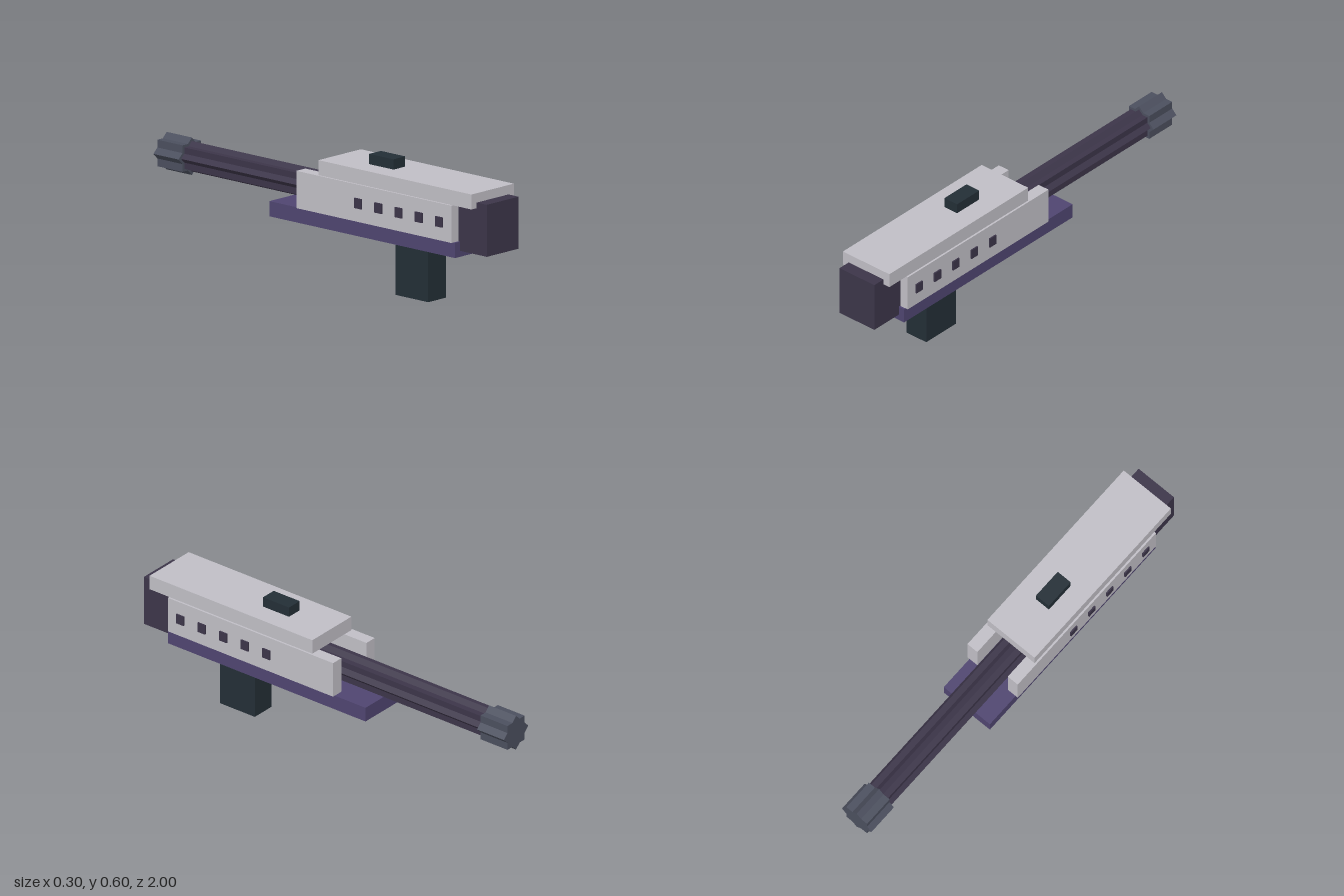
import * as THREE from 'three';

const material = (name, color) => {
  const m = new THREE.MeshStandardMaterial({ color });
  m.name = name;
  return m;
};

export function createModel() {
  const model = new THREE.Group();
  model.name = 'rotaryBlaster';
  const paleGrey = material('paleGrey', 0xc0bec5);
  const darkPlum = material('darkPlum', 0x3c3549);
  const purple = material('purple', 0x4f4570);
  const blueBlack = material('blueBlack', 0x232e36);
  const slate = material('slate', 0x4b4f5e);

  const add = (name, geometry, mat) => {
    const mesh = new THREE.Mesh(geometry, mat);
    mesh.name = name;
    model.add(mesh);
    return mesh;
  };

  // Box given by its minimum and maximum on each axis
  const block = (name, mat, [x0, x1], [y0, y1], [z0, z1]) =>
    add(name, new THREE.BoxGeometry(x1 - x0, y1 - y0, z1 - z0), mat)
      .position.set((x0 + x1) / 2, (y0 + y1) / 2, (z0 + z1) / 2);

  // Fluted bar with eight ridges along z
  const flutedBar = (name, mat, radius, z0, z1) => {
    const points = [];
    for (let i = 0; i < 16; i++) {
      const a = (i * Math.PI) / 8;
      const r = i % 2 ? radius * 0.765 : radius;
      points.push(new THREE.Vector2(Math.cos(a) * r, Math.sin(a) * r));
    }
    const geometry = new THREE.ExtrudeGeometry(new THREE.Shape(points), { depth: z1 - z0, bevelEnabled: false });
    add(name, geometry, mat).position.set(0, 0.396, z0);
  };

  // Body
  block('basePlate', purple, [-0.132, 0.132], [0.25, 0.318], [-0.265, 0.84]);
  block('topCover', paleGrey, [-0.135, 0.135], [0.485, 0.552], [0.03, 0.94]);
  block('endBlock', darkPlum, [-0.101, 0.101], [0.277, 0.51], [0.7, 1]);
  block('grip', blueBlack, [-0.057, 0.057], [0, 0.25], [0.415, 0.61]);
  block('sight', blueBlack, [-0.037, 0.037], [0.552, 0.598], [0.24, 0.385]);

  // Side panels with a row of raised vents
  for (const side of [1, -1]) {
    const span = (a, b) => (side > 0 ? [a, b] : [-b, -a]);
    const label = side > 0 ? 'left' : 'right';
    block(label + 'Panel', paleGrey, span(0.087, 0.144), [0.318, 0.485], [-0.093, 0.83]);
    for (let i = 0; i < 5; i++) {
      const z = 0.277 + i * 0.1205;
      block(label + 'Vent' + (i + 1), darkPlum, span(0.142, 0.151), [0.379, 0.424], [z - 0.021, z + 0.021]);
    }
  }

  // Barrel and muzzle
  flutedBar('barrel', darkPlum, 0.068, -0.86, 0.72);
  flutedBar('muzzle', slate, 0.084, -1, -0.85);

  return model;
}
